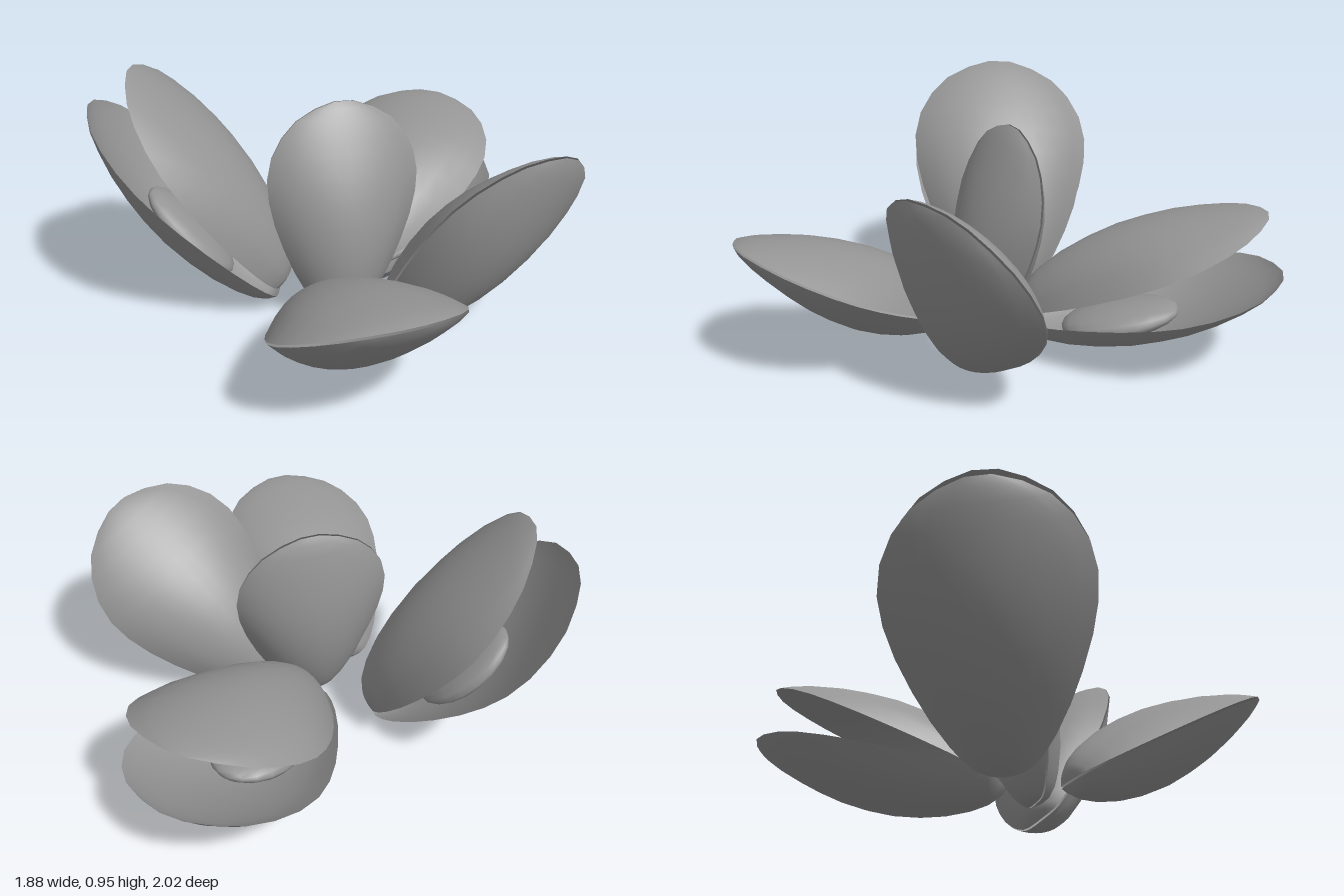
import * as THREE from 'three';

// Outline of one valve of unit length: [distance from hinge, half width, depth]
const PROFILE = [
  [0, 0.035, 0], [0.004, 0.07, 0.035], [0.02, 0.1, 0.06], [0.06, 0.138, 0.09], [0.12, 0.18, 0.116],
  [0.22, 0.235, 0.143], [0.33, 0.283, 0.158], [0.45, 0.325, 0.161], [0.56, 0.35, 0.15],
  [0.66, 0.356, 0.132], [0.76, 0.335, 0.105], [0.85, 0.287, 0.075], [0.92, 0.222, 0.048],
  [0.97, 0.135, 0.024], [1, 0.045, 0],
];

// One valve: x across, y from hinge to tip, z towards the domed side
function valveGeometry() {
  const cols = 12, pos = [], index = [];
  // outer dome, then the hollow inside facing the other way
  [[1, false], [0.88, true]].forEach(([hollow, flip]) => {
    const base = pos.length / 3;
    PROFILE.forEach(([t, half, depth]) => {
      for (let j = 0; j <= cols; j++) {
        const s = -1 + (2 * j) / cols;
        pos.push(s * half, t, depth * hollow * Math.pow(Math.max(0, 1 - s * s), 0.85));
      }
    });
    for (let i = 0; i < PROFILE.length - 1; i++) {
      for (let j = 0; j < cols; j++) {
        const a = base + i * (cols + 1) + j, b = a + 1, c = a + cols + 1, d = c + 1;
        if (flip) index.push(a, c, b, b, c, d);
        else index.push(a, b, c, b, d, c);
      }
    }
  });
  const g = new THREE.BufferGeometry();
  g.setAttribute('position', new THREE.Float32BufferAttribute(pos, 3));
  g.setIndex(index);
  g.computeVertexNormals();
  return g;
}

export function createModel() {
  const root = new THREE.Group();
  root.name = 'mussels';
  const material = new THREE.MeshStandardMaterial({ color: 0x959595, side: THREE.DoubleSide });
  const valveGeo = valveGeometry();
  const meatGeo = new THREE.SphereGeometry(1, 16, 10);

  // Places a valve from hinge to tip, domed towards "out"
  function valve(name, hinge, tip, out, gap = 0) {
    const h = new THREE.Vector3(...hinge);
    const u = new THREE.Vector3(...tip).sub(h);
    const length = u.length();
    u.normalize();
    const n = new THREE.Vector3(...out);
    n.addScaledVector(u, -n.dot(u)).normalize();
    const w = new THREE.Vector3().crossVectors(u, n);
    const group = new THREE.Group();
    group.name = name;
    group.quaternion.setFromRotationMatrix(new THREE.Matrix4().makeBasis(w, u, n));
    group.position.copy(h).addScaledVector(n, gap);
    group.scale.setScalar(length);
    const shell = new THREE.Mesh(valveGeo, material);
    shell.name = name + 'Shell';
    group.add(shell);
    return group;
  }

  // Soft body lying in the hollow of a valve
  function addMeat(group) {
    const meat = new THREE.Mesh(meatGeo, material);
    meat.name = 'meat';
    meat.scale.set(0.16, 0.22, 0.055);
    meat.position.set(0, 0.4, 0.078);
    group.add(meat);
  }

  // Closed mussels: two mirrored valves
  const closed = [
    ['frontMussel', [-0.02, 0.07, 0.3], [0.53, 0.51, 0.925], [-0.28, 0.88, -0.36]],
    ['leftMussel', [0.275, 0.03, 0.135], [0.895, 0.77, 0.1], [-0.66, 0.52, -0.58]],
    ['centreMussel', [0.08, 0.03, 0.15], [0.04, 0.855, 0.01], [0.57, 0.1, 0.81]],
  ];
  closed.forEach(([name, hinge, tip, out]) => {
    const mussel = new THREE.Group();
    mussel.name = name;
    mussel.add(
      valve('upperValve', hinge, tip, out, 0.004),
      valve('lowerValve', hinge, tip, out.map((v) => -v), 0.004),
    );
    root.add(mussel);
  });

  // Open mussels: valves spread apart, meat in the lower one
  const open = [
    ['backMussel',
      [[0.07, 0.15, -0.03], [0.17, 0.58, -0.93], [0, 1, 0]],
      [[0.07, 0.12, 0.02], [0.17, 0.35, -1], [0, -1, 0]]],
    ['rightMussel',
      [[-0.2, 0.08, 0.08], [-0.76, 0.95, 0.15], [0.81, 0.54, -0.21]],
      [[-0.2, 0.05, 0.1], [-0.93, 0.8, 0.17], [-0.67, -0.68, 0.28]]],
  ];
  open.forEach(([name, upper, lower]) => {
    const mussel = new THREE.Group();
    mussel.name = name;
    const lowerValve = valve('lowerValve', ...lower);
    addMeat(lowerValve);
    mussel.add(valve('upperValve', ...upper), lowerValve);
    root.add(mussel);
  });

  return root;
}
